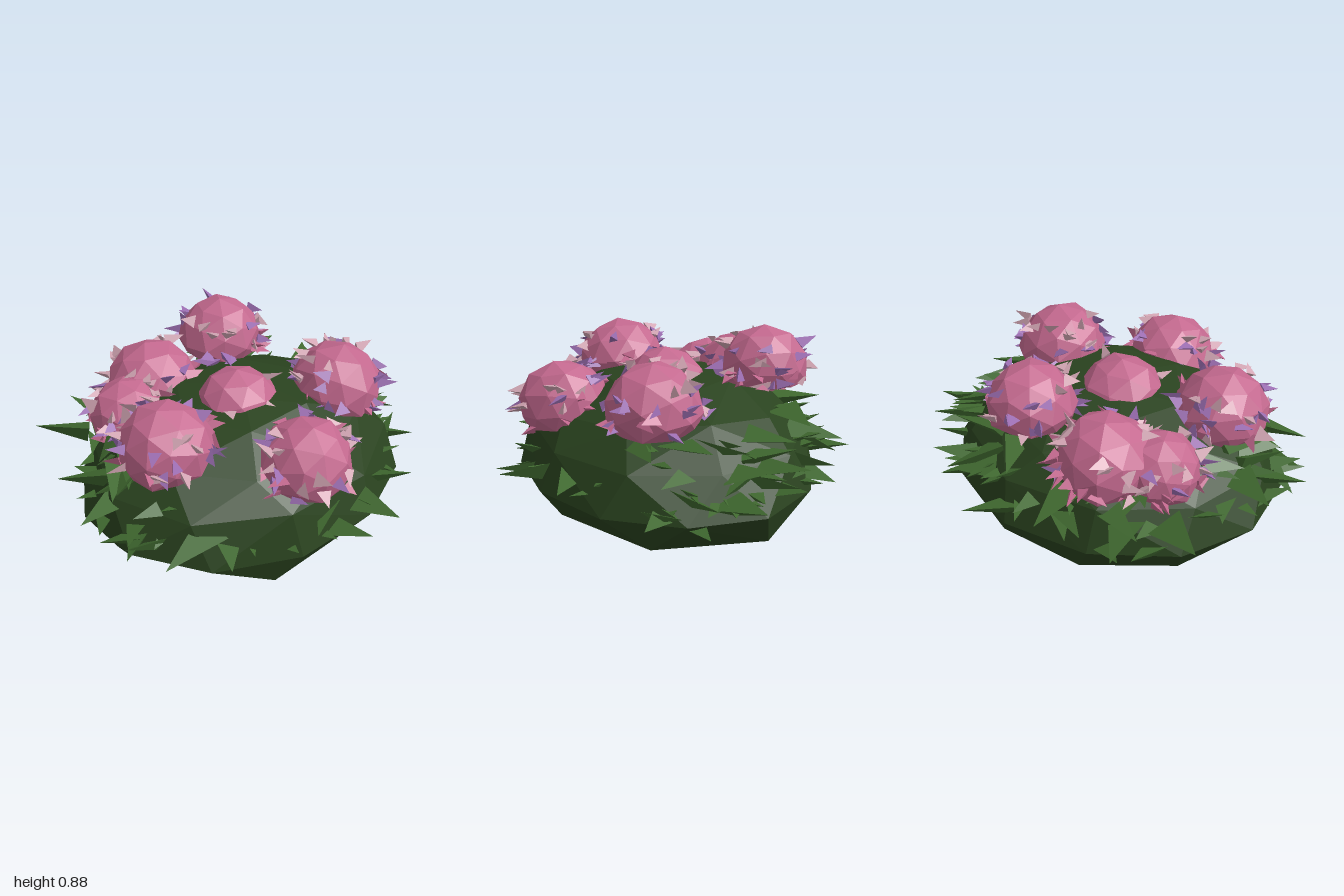
import * as THREE from 'three';
import { mergeGeometries } from 'three/addons/utils/BufferGeometryUtils.js';
import { ConvexGeometry } from 'three/addons/geometries/ConvexGeometry.js';

let seed = 7;
const rnd = () => (seed = (seed * 16807) % 2147483647) / 2147483647;
const range = (a, b) => a + (b - a) * rnd();

function material(name, color) {
  const m = new THREE.MeshStandardMaterial({ color });
  m.name = name;
  return m;
}

// Facet a geometry so every triangle has its own normal
function faceted(geo) {
  const g = geo.index ? geo.toNonIndexed() : geo;
  g.deleteAttribute('uv');
  g.computeVertexNormals();
  return g;
}

// Flattened pointed leaf or petal, from its base point along an azimuth and pitch
function spike(base, azimuth, pitch, length, width, thick, roll) {
  const g = new THREE.ConeGeometry(1, 1, 3);
  g.translate(0, 0.5, 0).rotateX(Math.PI / 2).scale(width, thick, length);
  g.rotateZ(roll).rotateX(-pitch).rotateY(azimuth).translate(base.x, base.y, base.z);
  return faceted(g);
}

// Spike that ends exactly at a tip
function spikeTo(tip, azimuth, pitch, length, width, thick, roll) {
  const c = Math.cos(pitch) * length;
  const base = new THREE.Vector3(
    tip.x - Math.sin(azimuth) * c, tip.y - Math.sin(pitch) * length, tip.z - Math.cos(azimuth) * c);
  return spike(base, azimuth, pitch, length, width, thick, roll);
}

// Faceted mound: an uneven foot outline below staggered rings
function bushGeometry() {
  const foot = [[0.63, 0.3], [0.69, -0.24], [0.27, -0.6], [-0.17, -0.63], [-0.58, -0.42],
    [-0.75, -0.06], [-0.57, 0.29], [-0.33, 0.6], [0.12, 0.58]];
  const pts = foot.map(([x, z], i) => new THREE.Vector3(x, i % 2 ? 0.005 : 0.015, z));
  // y, radius x, radius z, points, jitter
  const rings = [
    [0.17, 0.85, 0.72, 12, 0.01], [0.37, 0.76, 0.66, 10, 0.02],
    [0.52, 0.6, 0.54, 9, 0.03], [0.62, 0.34, 0.32, 6, 0.02], [0.65, 0.1, 0.1, 3, 0],
  ];
  rings.forEach(([y, rx, rz, n, j], k) => {
    for (let i = 0; i < n; i++) {
      const a = ((i + ((k + 1) % 2) / 2) / n) * Math.PI * 2;
      const s = 1 + range(-j, j);
      pts.push(new THREE.Vector3(-0.03 - Math.cos(a) * rx * s, y + range(-j, j), Math.sin(a) * rz * s));
    }
  });
  return faceted(new ConvexGeometry(pts));
}

function leafGeometry() {
  const parts = [];
  // Long outer leaves, by tip position
  const tips = [
    [1, 0.28, -0.09], [0.83, 0.2, 0.39], [0.49, 0.27, 0.68], [0.18, 0.28, 0.88], [0.02, 0.25, 0.87],
    [-0.62, 0.26, 0.64], [-0.85, 0.28, 0.47], [-1, 0.35, 0.05], [-0.92, 0.25, 0.28], [-0.93, 0.4, -0.25],
    [-0.78, 0.4, -0.69], [-0.47, 0.36, -0.87], [-0.1, 0.41, -0.88], [0.33, 0.28, -0.83],
    [0.5, 0.38, -0.7], [0.69, 0.33, -0.56], [0.83, 0.38, -0.37], [0.9, 0.15, 0.12],
  ];
  tips.forEach(([x, y, z]) => {
    parts.push(spikeTo(new THREE.Vector3(x, y, z), Math.atan2(x, z) + range(-0.4, 0.4),
      range(-0.1, 0.2), range(0.26, 0.34), 0.1, 0.055, range(-0.5, 0.5)));
  });
  // Shorter leaves, crowded at the sides and back and sparse at the front
  for (let i = 0; i < 78; i++) {
    const front = i < 7;
    const a = front ? range(-0.8, 0.8) : range(1.05, Math.PI * 2 - 1.05);
    const y = front ? range(0.2, 0.32) : range(0.22, 0.5);
    const r = 0.99 - Math.max(0, y - 0.3) * 0.6 - (front ? 0.1 : range(0, 0.1));
    const tip = new THREE.Vector3(Math.sin(a) * r * 0.94 - 0.02, y, Math.cos(a) * r * 0.85);
    parts.push(spikeTo(tip, a + range(-0.8, 0.8), range(-0.15, 0.3),
      range(0.18, 0.28), range(0.06, 0.095), 0.04, range(-0.6, 0.6)));
  }
  return mergeGeometries(parts);
}

// Slightly uneven flower head with a flat underside
function headGeometry(r) {
  const g = new THREE.IcosahedronGeometry(r, 1);
  const p = g.attributes.position;
  const v = new THREE.Vector3();
  for (let i = 0; i < p.count; i++) {
    v.fromBufferAttribute(p, i);
    v.multiplyScalar(1 + 0.03 * Math.sin((v.x * 5 + v.y * 9 + v.z * 13) / r));
    p.setXYZ(i, v.x, Math.max(v.y * 0.95, -0.33 * r), v.z);
  }
  return faceted(g);
}

// Little petals lying over the head, densest around the lower rim
function petalGeometry(r, count, highest) {
  const parts = [];
  for (let i = 0; i < count; i++) {
    const a = range(0, Math.PI * 2);
    const e = range(-0.3, highest);
    const base = new THREE.Vector3(Math.sin(a) * Math.cos(e), Math.sin(e), Math.cos(a) * Math.cos(e))
      .multiplyScalar(r * 0.94);
    parts.push(spike(base, a + range(-1.3, 1.3), range(-0.2, 0.3) + Math.max(0, e) * 0.3,
      range(0.06, 0.1), range(0.03, 0.045), 0.022, range(-1.2, 1.2)));
  }
  return mergeGeometries(parts);
}

export function createModel() {
  seed = 7;
  const bushGreen = material('bush green', 0x2a431f);
  const leafGreen = material('leaf green', 0x3f682f);
  const pink = material('flower pink', 0xc4698f);
  const palePink = material('pale pink', 0xd3a6b4);
  const violet = material('violet', 0x9c6eb2);

  const model = new THREE.Group();
  model.name = 'floweringBush';
  const add = (parent, name, geo, mat) => {
    const mesh = new THREE.Mesh(geo, mat);
    mesh.name = name;
    parent.add(mesh);
  };
  add(model, 'bush', bushGeometry(), bushGreen);
  add(model, 'leaves', leafGeometry(), leafGreen);

  // Flower heads: x, y, z, radius, outward tilt, then counts of pink, pale and violet petals
  const flowers = [
    [0.19, 0.685, -0.42, 0.21, 0, 6, 12, 20],
    [-0.22, 0.54, -0.46, 0.23, 0.15, 18, 18, 5],
    [-0.44, 0.5, -0.36, 0.19, 0.2, 22, 14, 5],
    [-0.54, 0.585, 0.08, 0.225, 0.2, 6, 12, 20],
    [0.41, 0.595, 0.21, 0.225, 0.15, 6, 14, 20],
    [-0.05, 0.555, 0, 0.21, 0, 2, 6, 1],
    [-0.07, 0.515, 0.51, 0.22, 0.2, 10, 14, 12],
  ];
  flowers.forEach(([x, y, z, r, tilt, nPink, nPale, nViolet], i) => {
    const flower = new THREE.Group();
    flower.name = 'flower' + (i + 1);
    flower.position.set(x, y, z);
    flower.quaternion.setFromAxisAngle(new THREE.Vector3(z, 0, -x).normalize(), tilt);
    const head = headGeometry(r);
    head.rotateY(i * 0.9);
    add(flower, 'flowerHead', head, pink);
    add(flower, 'pinkPetals', petalGeometry(r, nPink, 0.3), pink);
    add(flower, 'palePetals', petalGeometry(r, nPale, 0.85), palePink);
    add(flower, 'violetPetals', petalGeometry(r, nViolet, 0.65), violet);
    model.add(flower);
  });
  return model;
}
